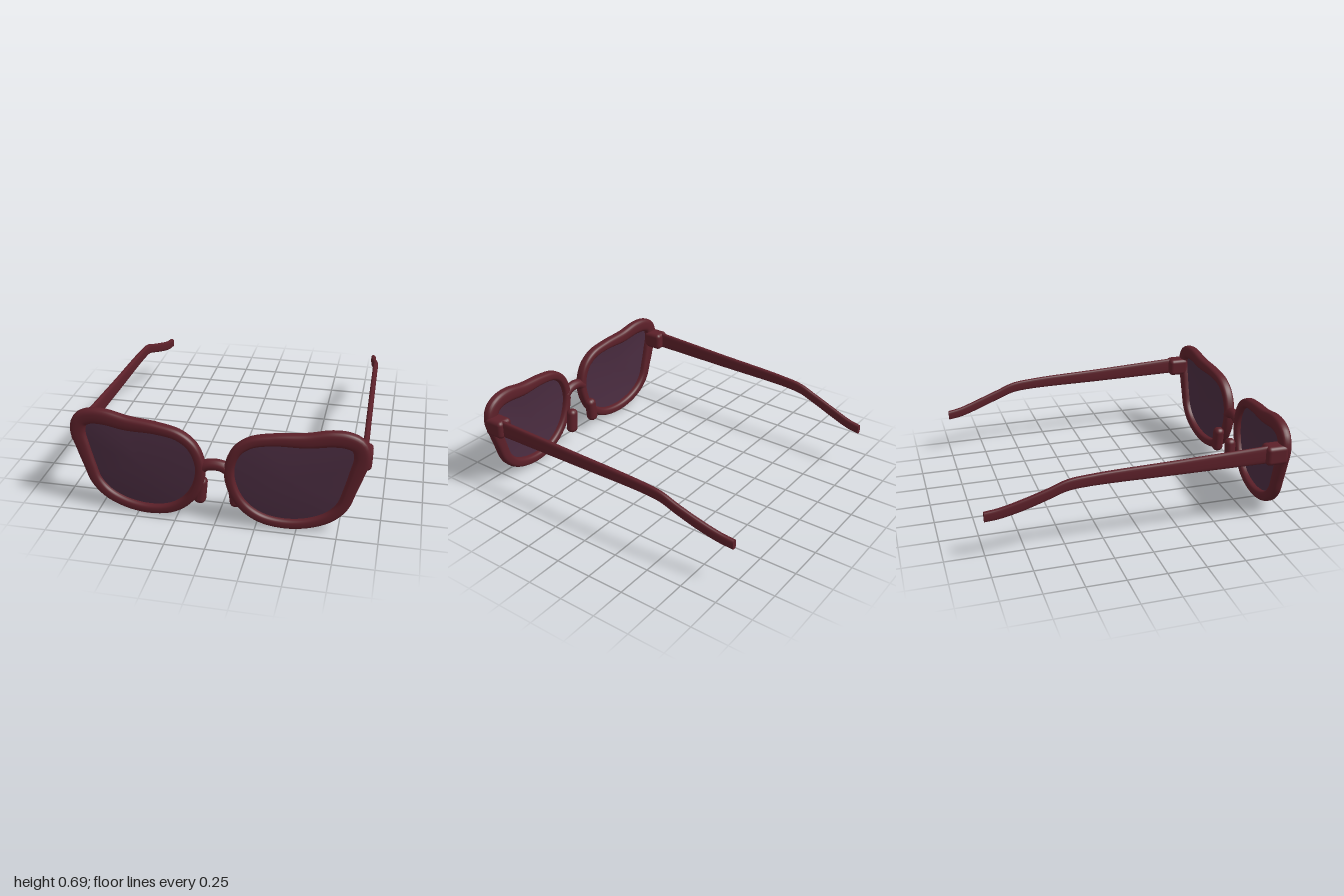
import * as THREE from 'three';
import { RoundedBoxGeometry } from 'three/addons/geometries/RoundedBoxGeometry.js';

// Rim centre line of one eye: x, y, band width
const RIM = [
  [0.09, 0.40, 0.062], [0.135, 0.52, 0.064], [0.22, 0.585, 0.066], [0.36, 0.612, 0.072],
  [0.55, 0.62, 0.09], [0.70, 0.643, 0.1], [0.79, 0.636, 0.1], [0.85, 0.603, 0.1],
  [0.871, 0.53, 0.1], [0.845, 0.42, 0.09], [0.81, 0.30, 0.08], [0.772, 0.19, 0.075],
  [0.70, 0.11, 0.07], [0.58, 0.055, 0.066], [0.43, 0.037, 0.064], [0.28, 0.068, 0.063],
  [0.17, 0.15, 0.063], [0.106, 0.27, 0.062],
];

// Temple centre line: x, y, z, height
const TEMPLE = [
  [0.879, 0.506, 0.80, 0.118], [0.866, 0.492, 0.2, 0.095], [0.856, 0.48, -0.35, 0.075],
  [0.853, 0.464, -0.5, 0.072], [0.85, 0.42, -0.62, 0.07], [0.838, 0.362, -0.78, 0.072],
  [0.823, 0.322, -0.91, 0.068], [0.815, 0.308, -1.0, 0.064],
];

// The front wraps back gently towards the temples
const frontZ = (x) => 0.957 - 0.07 * (x - 0.06);

// Rounded-rectangle cross-section, unit half-size
function section(count, power) {
  return Array.from({ length: count }, (_, i) => {
    const a = (i / count) * Math.PI * 2;
    const f = (v) => Math.sign(v) * Math.abs(v) ** (2 / power);
    return [f(Math.cos(a)), f(Math.sin(a))];
  });
}

// Skin a list of rings; flip reverses the faces
function loft(rings, { closed = false, capEnd = false, flip = false } = {}) {
  const n = rings[0].length, m = rings.length;
  const pos = rings.flat(2), index = [];
  const tri = (a, b, c) => (flip ? index.push(a, c, b) : index.push(a, b, c));
  for (let i = 0; i < (closed ? m : m - 1); i++) {
    for (let j = 0; j < n; j++) {
      const a = i * n + j, b = i * n + ((j + 1) % n);
      const c = ((i + 1) % m) * n + j, d = ((i + 1) % m) * n + ((j + 1) % n);
      tri(a, c, b);
      tri(b, c, d);
    }
  }
  if (capEnd) {
    const base = pos.length / 3, last = rings[m - 1];
    pos.push(...last.flat());
    for (let j = 1; j < n - 1; j++) tri(base, base + j + 1, base + j);
  }
  const g = new THREE.BufferGeometry();
  g.setAttribute('position', new THREE.Float32BufferAttribute(pos, 3));
  g.setIndex(index);
  g.computeVertexNormals();
  return g;
}

const rimCurve = new THREE.CatmullRomCurve3(RIM.map((p) => new THREE.Vector3(...p)), true);

function rimGeometry(s) {
  const sec = section(24, 2.8), rings = [];
  for (let i = 0; i < 120; i++) {
    const p = rimCurve.getPointAt(i / 120), t = rimCurve.getTangentAt(i / 120);
    const len = Math.hypot(t.x, t.y), nx = -t.y / len, ny = t.x / len;
    rings.push(sec.map(([u, v]) => {
      const x = p.x + nx * u * p.z / 2;
      return [s * x, p.y + ny * u * p.z / 2, frontZ(p.x) - v * 0.036];
    }));
  }
  return loft(rings, { closed: true, flip: s < 0 });
}

// Slightly domed sheet reaching into the rim
function lensGeometry(s) {
  const rings = [], cx = 0.46, cy = 0.34;
  const edge = rimCurve.getSpacedPoints(96).slice(0, 96);
  for (let k = 0; k <= 8; k++) {
    const r = k / 8;
    rings.push(edge.map((p) => {
      const x = cx + (p.x - cx) * r;
      return [s * x, cy + (p.y - cy) * r, frontZ(x) + 0.018 * (1 - r * r)];
    }));
  }
  return loft(rings, { flip: s > 0 });
}

function templeGeometry(s) {
  const path = new THREE.CatmullRomCurve3(TEMPLE.map(([x, y, z]) => new THREE.Vector3(x, y, z)));
  const sec = section(20, 3.2), rings = [], steps = 56;
  for (let i = 0; i <= steps; i++) {
    const t = i / steps, p = path.getPoint(t);
    const f = t * (TEMPLE.length - 1), k = Math.min(Math.floor(f), TEMPLE.length - 2);
    const h = THREE.MathUtils.lerp(TEMPLE[k][3], TEMPLE[k + 1][3], f - k);
    rings.push(sec.map(([u, v]) => [s * (p.x + u * 0.0175), p.y + v * h / 2, p.z]));
  }
  return loft(rings, { capEnd: true, flip: s < 0 });
}

export function createModel() {
  const frameMat = new THREE.MeshStandardMaterial({ color: 0x5c2029 });
  frameMat.name = 'burgundy frame';
  const lensMat = new THREE.MeshStandardMaterial({ color: 0x4a2c40, side: THREE.DoubleSide });
  lensMat.name = 'plum lens';

  const model = new THREE.Group();
  model.name = 'glasses';
  const add = (name, geometry, material = frameMat) => {
    const mesh = new THREE.Mesh(geometry, material);
    mesh.name = name;
    model.add(mesh);
    return mesh;
  };

  for (const [side, s] of [['left', 1], ['right', -1]]) {
    add(`${side}Rim`, rimGeometry(s));
    add(`${side}Lens`, lensGeometry(s), lensMat);
    add(`${side}Temple`, templeGeometry(s));
    // Hinge block joining rim and temple
    add(`${side}Hinge`, new RoundedBoxGeometry(0.116, 0.126, 0.147, 4, 0.028))
      .position.set(s * 0.868, 0.503, 0.838);
    // Nose pad, leaning outwards at the bottom
    const pad = add(`${side}NosePad`, new RoundedBoxGeometry(0.078, 0.185, 0.075, 5, 0.034));
    pad.position.set(s * 0.109, 0.18, 0.887);
    pad.rotation.z = s * 0.1;
  }

  // Arched bridge
  const arch = new THREE.CatmullRomCurve3([[-0.095, 0.375], [-0.05, 0.403], [0, 0.411], [0.05, 0.403], [0.095, 0.375]]
    .map(([x, y]) => new THREE.Vector3(x, y, 0.952)));
  add('bridge', new THREE.TubeGeometry(arch, 24, 0.036, 18));
  return model;
}
